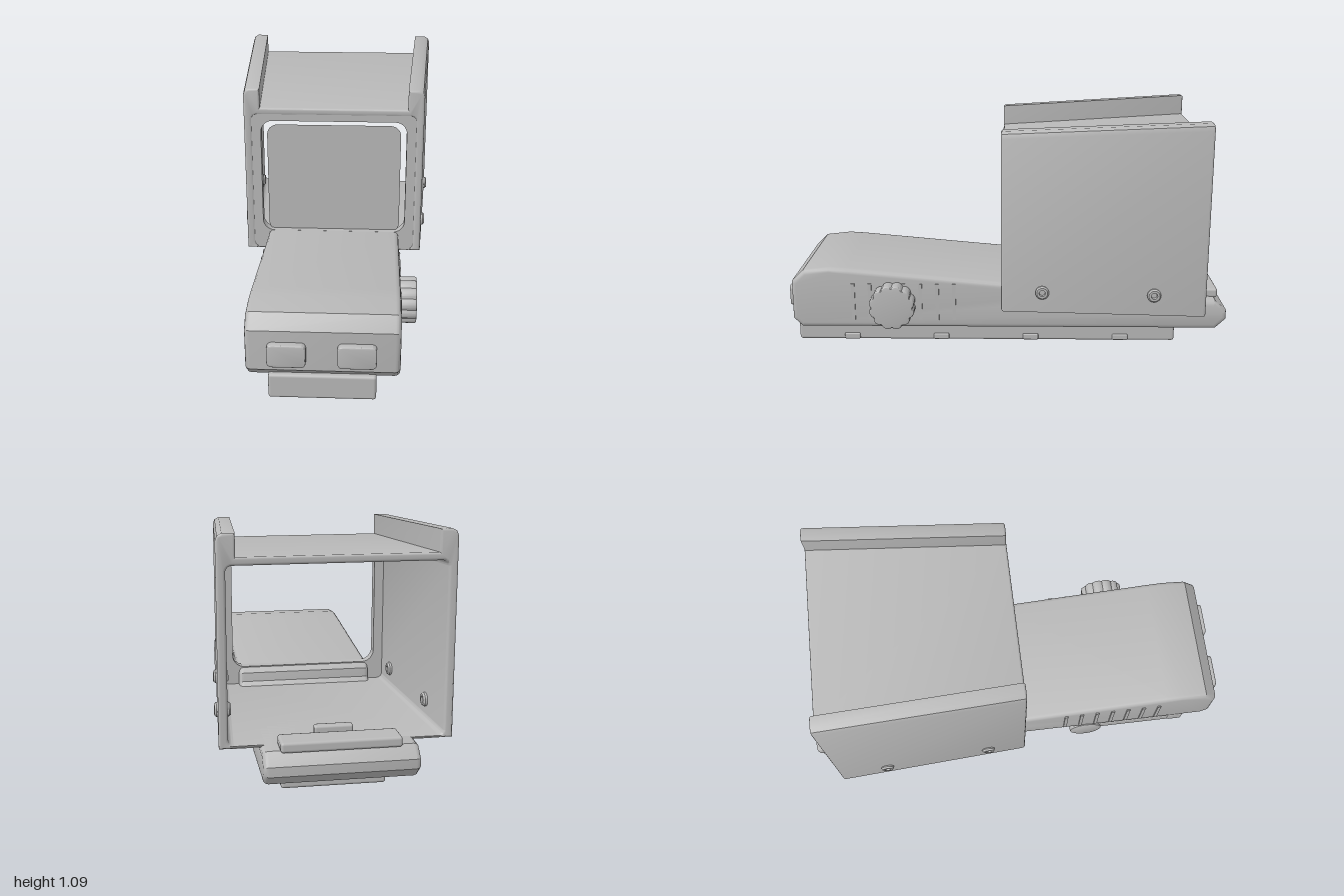
import * as THREE from 'three';
import { toCreasedNormals } from 'three/addons/utils/BufferGeometryUtils.js';
import { RoundedBoxGeometry } from 'three/addons/geometries/RoundedBoxGeometry.js';

const grey = new THREE.MeshStandardMaterial({ color: 0xb8b8b8 });
grey.name = 'grey';

// Closed shape from a list of points
const poly = (pts) => new THREE.Shape(pts.map(([x, y]) => new THREE.Vector2(x, y)));

// Rectangle with rounded corners
function roundRect(x0, y0, x1, y1, r, type = THREE.Shape) {
  const s = new type();
  s.absarc(x1 - r, y0 + r, r, -Math.PI / 2, 0);
  s.absarc(x1 - r, y1 - r, r, 0, Math.PI / 2);
  s.absarc(x0 + r, y1 - r, r, Math.PI / 2, Math.PI);
  s.absarc(x0 + r, y0 + r, r, Math.PI, Math.PI * 1.5);
  s.closePath();
  return s;
}

// Extrusion with rounded edges kept inside the outline, from z = 0 to z = depth
function extrude(shape, depth, bevel = 0, curveSegments = 8) {
  const g = new THREE.ExtrudeGeometry(shape, {
    depth: depth - 2 * bevel, bevelEnabled: bevel > 0, bevelSize: bevel,
    bevelThickness: bevel, bevelOffset: -bevel, bevelSegments: 3, curveSegments,
  });
  return g.translate(0, 0, bevel);
}

export function createModel() {
  const root = new THREE.Group();
  root.name = 'sight';
  const add = (name, geometry, x = 0, y = 0, z = 0, parent = root) => {
    const m = new THREE.Mesh(geometry, grey);
    m.name = name;
    m.position.set(x, y, z);
    parent.add(m);
    return m;
  };
  // Rounded box given by its limits
  const box = (name, x0, x1, y0, y1, z0, z1, r) =>
    add(name, new RoundedBoxGeometry(x1 - x0, y1 - y0, z1 - z0, 2, r),
      (x0 + x1) / 2, (y0 + y1) / 2, (z0 + z1) / 2);

  // Main body: side profile (z, y) pulled across the width
  const profile = poly([
    [0.93, 0.13], [0.97, 0.17], [0.97, 0.345], [0.915, 0.4], [0.8, 0.413], [0.72, 0.408],
    [0.02, 0.345], [-0.03, 0.34], [-0.055, 0.32], [-0.06, 0.28], [-0.08, 0.262],
    [-0.945, 0.262], [-0.997, 0.215], [-0.997, 0.175], [-0.95, 0.13],
  ]);
  const bodyGeo = extrude(profile, 0.62, 0.022);
  bodyGeo.rotateY(-Math.PI / 2).translate(0.31, 0, 0);
  add('body', toCreasedNormals(bodyGeo, 0.6));

  // Hood: one cross-section, widened and raised towards the back
  const zFront = 0.02, hoodLength = 0.89;
  const hood = poly([
    [-0.415, 0.25], [0.415, 0.25], [0.415, 1.018], [0.408, 1.038], [0.39, 1.048], [0.34, 1.048],
    [0.34, 0.957], [-0.34, 0.957], [-0.34, 1.048], [-0.39, 1.048], [-0.408, 1.038], [-0.415, 1.018],
  ]);
  hood.holes.push(roundRect(-0.378, 0.262, 0.378, 0.925, 0.025, THREE.Path));
  const hoodGeo = extrude(hood, hoodLength, 0.01).translate(0, 0, zFront - hoodLength);
  const p = hoodGeo.attributes.position;
  for (let i = 0; i < p.count; i++) {
    const t = (zFront - p.getZ(i)) / hoodLength;
    p.setX(i, p.getX(i) + Math.sign(p.getX(i)) * 0.055 * t);
    if (p.getY(i) > 0.8) p.setY(i, p.getY(i) + 0.046 * t);
  }
  hoodGeo.computeVertexNormals();
  add('hood', toCreasedNormals(hoodGeo, 0.6));

  // Front frame and window pane with a narrow gap around it
  const frame = roundRect(-0.392, 0.255, 0.392, 0.94, 0.02);
  frame.holes.push(roundRect(-0.338, 0.345, 0.338, 0.896, 0.055, THREE.Path));
  add('windowFrame', toCreasedNormals(extrude(frame, 0.045), 0.6), 0, 0, zFront - 0.048);
  add('windowPane', new THREE.ShapeGeometry(roundRect(-0.312, 0.33, 0.312, 0.87, 0.05)), 0, 0, -0.01);

  // Hood screws, outside and inside both walls
  const screwProfile = [[0, 0.002], [0.012, 0.002], [0.014, 0.014], [0.024, 0.014], [0.03, 0.006], [0.03, -0.01]]
    .map(([r, h]) => new THREE.Vector2(r, h)).reverse();
  const screwGeo = toCreasedNormals(new THREE.LatheGeometry(screwProfile, 20), 0.6);
  for (const side of [-1, 1]) {
    for (const z of [-0.16, -0.645]) {
      const spread = 0.055 * (zFront - z) / hoodLength;
      add('hoodScrew', screwGeo, side * (0.415 + spread), 0.342, z).rotation.z = -side * Math.PI / 2;
      add('screwEnd', screwGeo, side * (0.376 + spread), 0.342, z).rotation.z = side * Math.PI / 2;
    }
  }

  // Grip ribs on both sides of the body
  for (const side of [-1, 1]) {
    for (let i = 0; i < 7; i++) {
      add('gripRib', new THREE.BoxGeometry(0.014, 0.17, 0.016), side * 0.309, 0.255, 0.235 + i * 0.076);
    }
  }

  // Adjustment knob with shallow flutes
  const flutes = [];
  for (let i = 0; i < 48; i++) {
    const a = (i / 48) * Math.PI * 2;
    const r = 0.103 - 0.009 * Math.pow(Math.abs(Math.cos(a * 6)), 4);
    flutes.push([Math.cos(a) * r, Math.sin(a) * r]);
  }
  const knobGeo = extrude(poly(flutes), 0.075, 0.008).rotateY(Math.PI / 2);
  add('adjustmentKnob', toCreasedNormals(knobGeo, 0.5), 0.308, 0.248, 0.51);

  // Front buttons
  for (const [x0, x1] of [[-0.22, -0.065], [0.06, 0.215]]) {
    const button = extrude(roundRect(x0, 0.198, x1, 0.296, 0.02), 0.04, 0.005);
    add('frontButton', toCreasedNormals(button, 0.6), 0, 0, 0.96);
  }

  // Rear raised plate and its small stop
  box('rearPlate', -0.24, 0.24, 0.255, 0.298, -0.965, -0.85, 0.012);
  box('rearPlateStop', -0.08, 0.08, 0.25, 0.298, -0.79, -0.75, 0.01);

  // Mounting base with side clips
  box('mountBase', -0.22, 0.215, 0.034, 0.142, -0.78, 0.965, 0.012);
  for (const z of [0.717, 0.302, -0.113, -0.528]) {
    box('baseClip', 0.2, 0.224, 0.038, 0.066, z - 0.036, z + 0.036, 0.006);
  }

  // Clamp lever: round hub and a bar running forward
  const hubProfile = [[0, -0.05], [0.068, -0.05], [0.077, -0.046], [0.08, -0.036], [0.08, 0.036], [0.077, 0.046], [0.068, 0.05], [0, 0.05]]
    .map(([r, h]) => new THREE.Vector2(r, h));
  add('leverHub', toCreasedNormals(new THREE.LatheGeometry(hubProfile, 32), 0.6), -0.268, 0.08, 0.345)
    .rotation.z = Math.PI / 2;
  box('leverBar', -0.308, -0.262, 0.066, 0.132, 0.34, 0.8, 0.014);
  box('leverTip', -0.312, -0.262, 0.072, 0.15, 0.76, 0.84, 0.014);

  return root;
}
